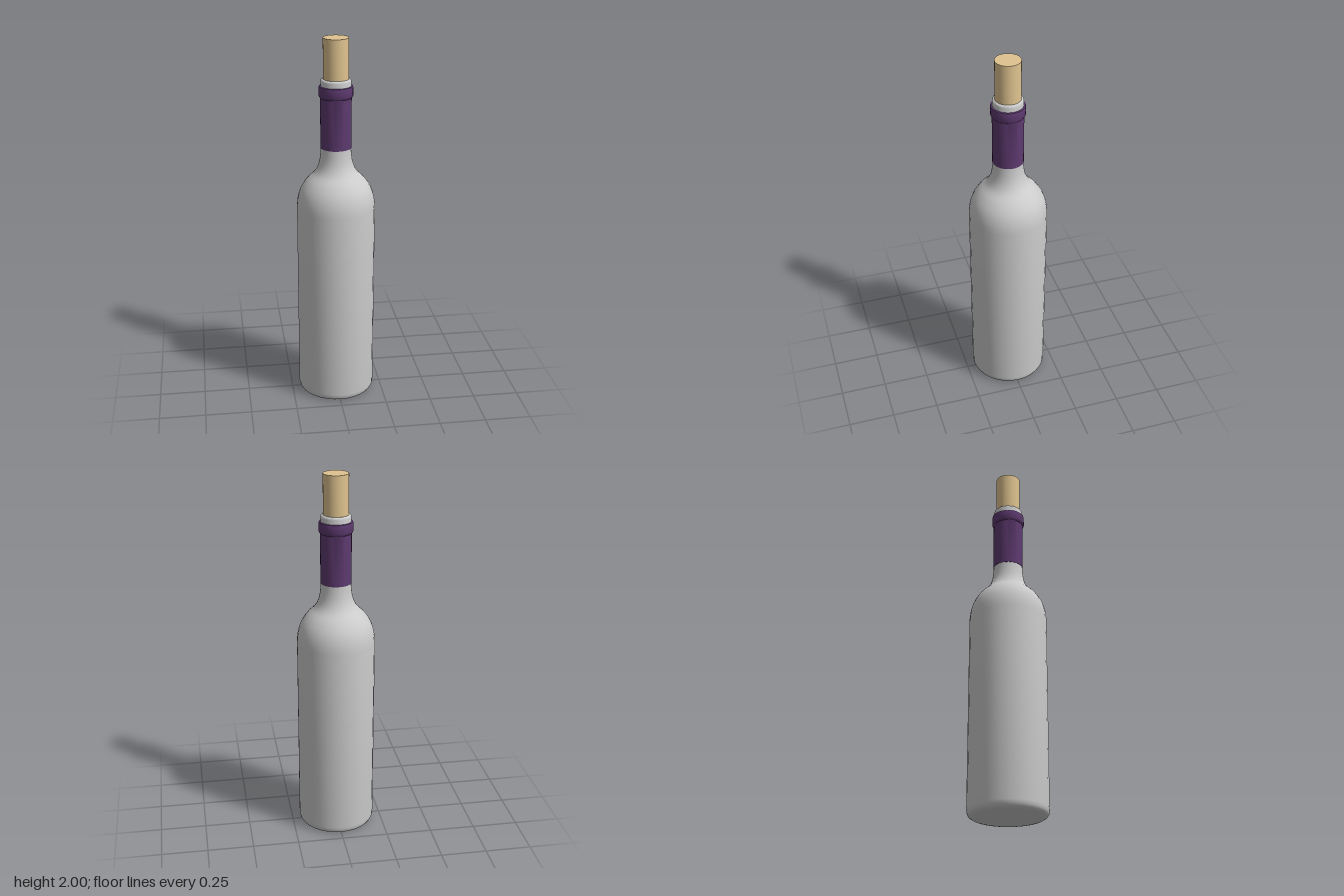
import * as THREE from 'three';
import { toCreasedNormals } from 'three/addons/utils/BufferGeometryUtils.js';

// Turned part from [radius, height] points listed bottom to top on the outside
function turned(name, profile, color) {
  const points = profile.map(([r, y]) => new THREE.Vector2(r, y));
  const geometry = toCreasedNormals(new THREE.LatheGeometry(points, 32), 0.7);
  const mesh = new THREE.Mesh(geometry, new THREE.MeshStandardMaterial({ color }));
  mesh.name = name;
  return mesh;
}

export function createModel() {
  const model = new THREE.Group();
  model.name = 'corkedBottle';

  // Shoulder: smooth curve from the straight body into the neck
  const shoulder = new THREE.SplineCurve([
    [0.21, 1.09], [0.205, 1.14], [0.188, 1.195], [0.155, 1.245],
    [0.115, 1.285], [0.094, 1.325], [0.084, 1.37], [0.08, 1.42],
  ].map(([r, y]) => new THREE.Vector2(r, y))).getPoints(20).map((p) => [p.x, p.y]);

  // Bottle: flat base with rounded edge, body, shoulder, neck and open mouth
  model.add(turned('bottle', [
    [0, 0], [0.175, 0], [0.19, 0.003], [0.201, 0.01], [0.208, 0.022], [0.21, 0.04],
    ...shoulder,
    [0.08, 1.775], [0.078, 1.784], [0.073, 1.788], [0.068, 1.788], [0.066, 1.78], [0.066, 1.7],
  ], 0xcccccc));

  // Foil: sleeve around the neck with a raised, softened band at the top
  model.add(turned('neckFoil', [
    [0.079, 1.42], [0.082, 1.42], [0.082, 1.69], [0.087, 1.695], [0.09, 1.702],
    [0.09, 1.742], [0.088, 1.75], [0.079, 1.752],
  ], 0x5e3a70));

  // Cork: plain cylinder standing out of the mouth
  model.add(turned('cork', [[0, 1.7], [0.067, 1.7], [0.067, 2], [0, 2]], 0xe0c490));

  return model;
}
